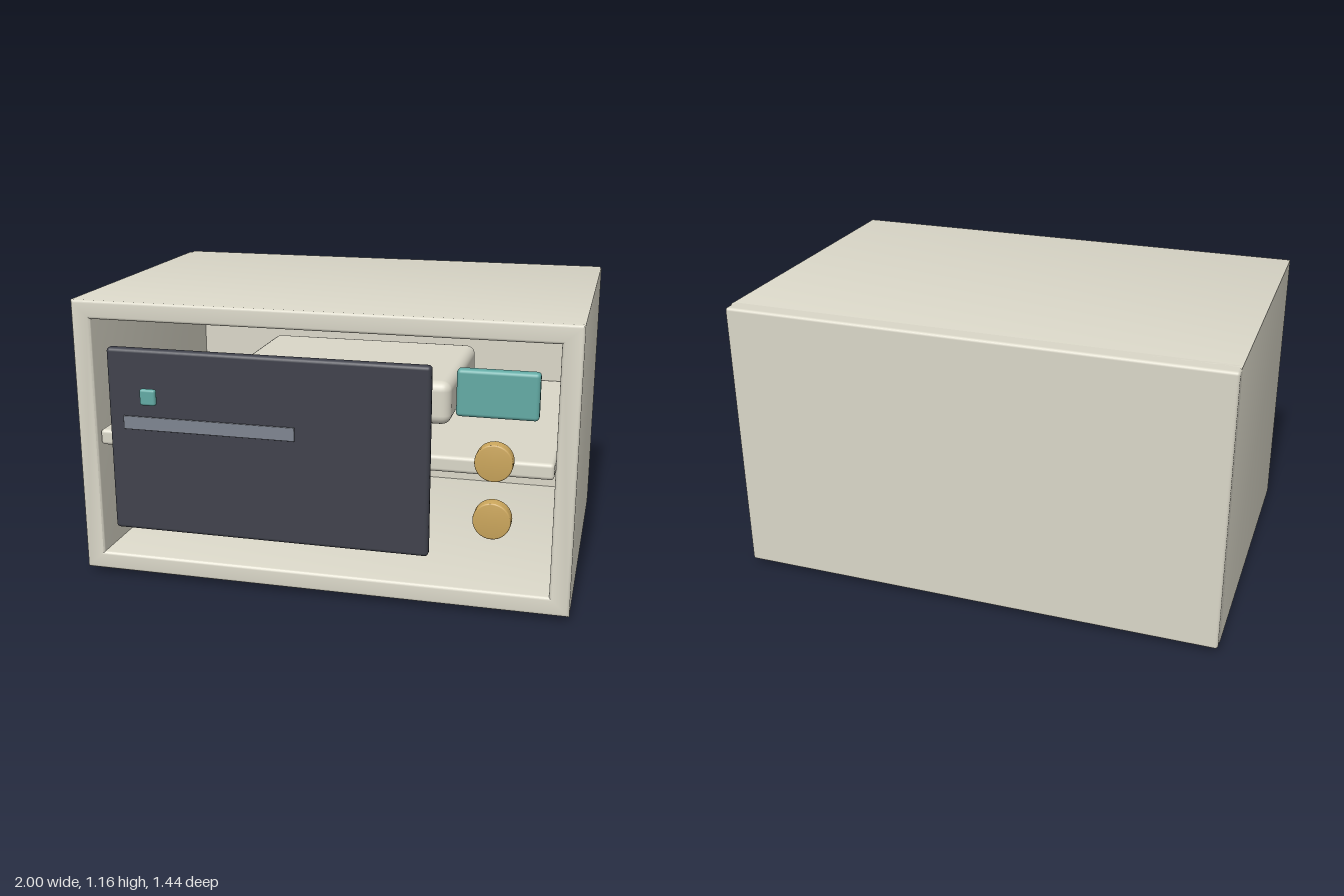
import * as THREE from 'three';
import { RoundedBoxGeometry } from 'three/addons/geometries/RoundedBoxGeometry.js';
import { toCreasedNormals } from 'three/addons/utils/BufferGeometryUtils.js';

const material = (color) => new THREE.MeshStandardMaterial({ color });
const cream = material(0xdad7c8);
const dark = material(0x3f414b);
const black = material(0x2b2d33);
const teal = material(0x62aaa4);
const brass = material(0xcba65c);
const slate = material(0x7e8490);

export function createModel() {
  const model = new THREE.Group();

  const add = (name, geometry, mat) => {
    const mesh = new THREE.Mesh(geometry, mat);
    mesh.name = name;
    model.add(mesh);
    return mesh;
  };

  // Rounded box given by its [min, max] along each axis
  const box = (name, mat, [x0, x1], [y0, y1], [z0, z1], radius) => {
    const geometry = new RoundedBoxGeometry(x1 - x0, y1 - y0, z1 - z0, 3, radius);
    geometry.translate((x0 + x1) / 2, (y0 + y1) / 2, (z0 + z1) / 2);
    return add(name, geometry, mat);
  };

  // Solid disc along y from 0 to height, with a rounded upper rim
  const disc = (radius, height, rim) => {
    const points = [new THREE.Vector2(0, 0), new THREE.Vector2(radius, 0)];
    for (let i = 0; i <= 4; i++) {
      const a = (i / 4) * Math.PI / 2;
      points.push(new THREE.Vector2(radius - rim + rim * Math.cos(a), height - rim + rim * Math.sin(a)));
    }
    points.push(new THREE.Vector2(0, height));
    return toCreasedNormals(new THREE.LatheGeometry(points, 32), 0.6);
  };

  const rectangle = (target, x0, x1, y0, y1) =>
    target.moveTo(x0, y0).lineTo(x1, y0).lineTo(x1, y1).lineTo(x0, y1).closePath();

  // Hollow housing: four walls around the chamber, closed by a back panel
  const bevel = 0.012;
  const outline = rectangle(new THREE.Shape(), -1, 1, 0.025, 1.165);
  outline.holes.push(rectangle(new THREE.Path(), -0.92, 0.92, 0.1, 1.09));
  const walls = new THREE.ExtrudeGeometry(outline, {
    depth: 1.29 - 2 * bevel, bevelThickness: bevel, bevelSize: bevel,
    bevelOffset: -bevel, bevelSegments: 3,
  });
  walls.translate(0, 0, -0.68 + bevel);
  add('housingWalls', toCreasedNormals(walls, 0.6), cream);
  box('backPanel', cream, [-1, 1], [0.025, 1.165], [-0.72, -0.64], bevel);

  // Shelf and the rounded block above it
  box('shelf', cream, [-0.915, 0.915], [0.565, 0.63], [-0.64, 0.59], 0.015);
  box('innerBlock', cream, [-0.475, 0.475], [0.66, 0.84], [-0.4, 0.31], 0.04);

  // Door with its slot and indicator
  box('door', dark, [-0.84, 0.455], [0.235, 0.99], [0.605, 0.65], 0.015);
  box('doorSlot', slate, [-0.775, -0.07], [0.665, 0.72], [0.654, 0.661], 0.002);
  box('indicator', teal, [-0.675, -0.61], [0.785, 0.85], [0.698, 0.723], 0.01);

  // Display and control knobs
  box('display', teal, [0.55, 0.855], [0.81, 0.99], [0.612, 0.66], 0.015);
  for (const y of [0.65, 0.423]) {
    const knob = add('knob', disc(0.072, 0.05, 0.006), brass);
    knob.rotation.x = Math.PI / 2;
    knob.position.set(0.7, y, 0.643);
  }

  // Feet, rounded towards the ground
  for (const x of [-0.77, 0.77]) {
    for (const z of [0.385, -0.495]) {
      const foot = add('foot', disc(0.105, 0.04, 0.014), black);
      foot.rotation.x = Math.PI;
      foot.position.set(x, 0.04, z);
    }
  }

  return model;
}
